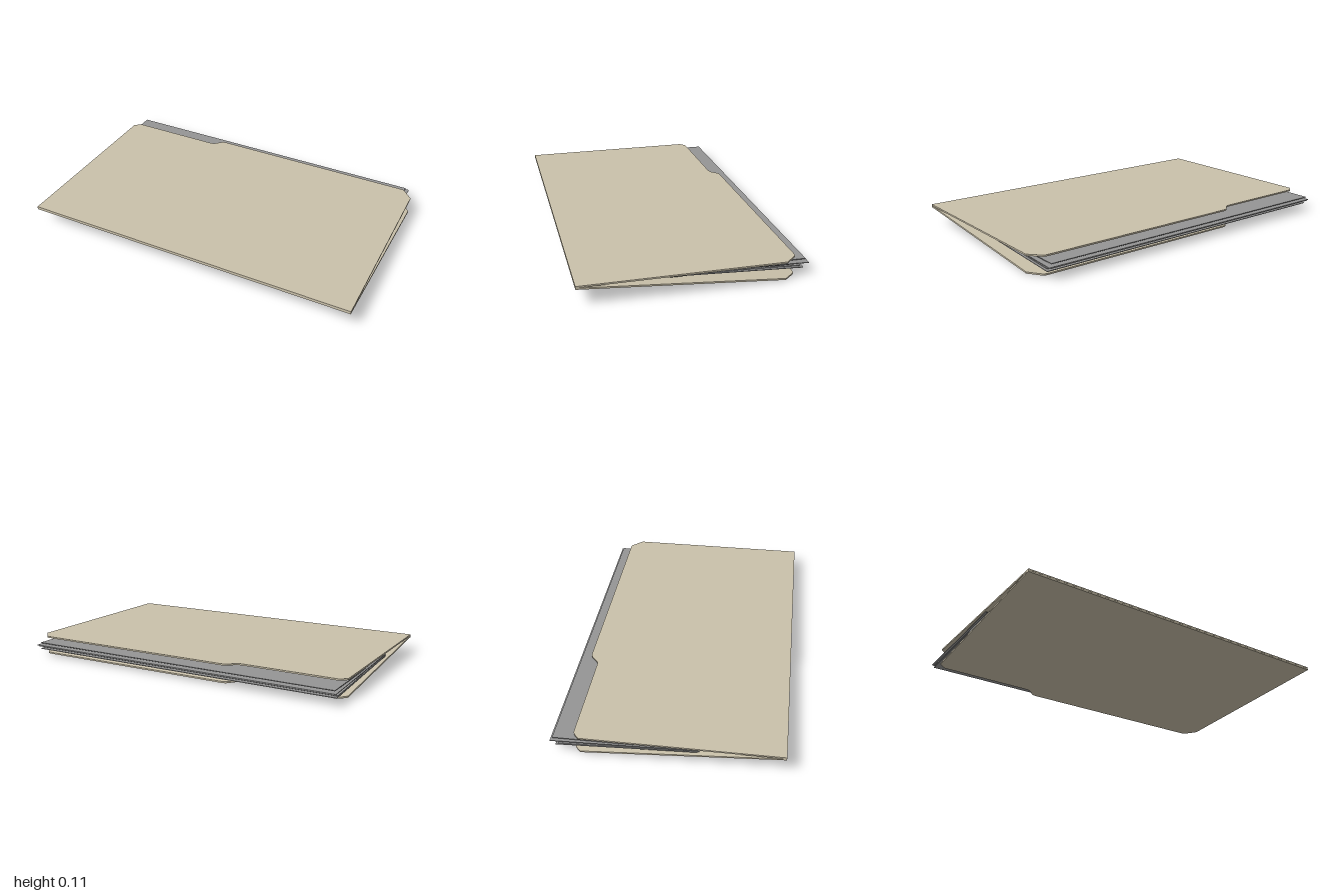
import * as THREE from 'three';

export function createModel() {
  const group = new THREE.Group();
  const card = new THREE.MeshStandardMaterial({ name: 'manila card', color: 0xcac1aa });
  const paper = new THREE.MeshStandardMaterial({ name: 'grey paper', color: 0x959595 });
  const thickness = 0.009;

  // Cover outline, measured from the hinge line, with a wide tab on the far edge
  const outline = new THREE.Shape();
  outline.moveTo(-1, 0);
  outline.lineTo(1, 0);
  outline.lineTo(1, 1.1);
  outline.lineTo(0.95, 1.155);
  outline.quadraticCurveTo(0.94, 1.17, 0.92, 1.17);
  outline.lineTo(-0.31, 1.17);
  outline.quadraticCurveTo(-0.33, 1.17, -0.345, 1.155);
  outline.lineTo(-0.37, 1.13);
  outline.quadraticCurveTo(-0.385, 1.118, -0.41, 1.118);
  outline.lineTo(-0.95, 1.118);
  outline.quadraticCurveTo(-0.965, 1.118, -0.975, 1.108);
  outline.lineTo(-1, 1.085);
  outline.closePath();
  const coverGeometry = new THREE.ExtrudeGeometry(outline, {
    depth: thickness, bevelEnabled: false, curveSegments: 4,
  });
  coverGeometry.rotateX(-Math.PI / 2);

  // Two covers meeting at the front fold
  function addCover(name, y, tilt) {
    const cover = new THREE.Mesh(coverGeometry, card);
    cover.name = name;
    cover.position.set(0, y, 0.62);
    cover.rotation.x = tilt;
    group.add(cover);
  }
  addCover('topCover', 0.101, 0);
  addCover('bottomCover', 0.092, -Math.atan2(0.092, 1.17));

  // Loose sheets: left x, right x, front z and y, back z and y
  const sheets = [
    [-0.985, 0.935, 0.14, 0.085, -0.61, 0.082],
    [-0.995, 0.955, 0.13, 0.092, -0.622, 0.067],
    [-0.985, 0.945, 0.13, 0.07, -0.62, 0.063],
    [-0.99, 0.94, 0.17, 0.083, -0.58, 0.048],
    [-0.99, 0.95, 0.16, 0.078, -0.594, 0.04],
  ];
  sheets.forEach(([x0, x1, zf, yf, zb, yb], i) => {
    const length = Math.hypot(zf - zb, yf - yb);
    const sheet = new THREE.Mesh(new THREE.BoxGeometry(x1 - x0, 0.004, length), paper);
    sheet.name = `paperSheet${i + 1}`;
    sheet.position.set((x0 + x1) / 2, (yf + yb) / 2, (zf + zb) / 2);
    sheet.rotation.x = -Math.atan2(yf - yb, zf - zb);
    group.add(sheet);
  });

  return group;
}
